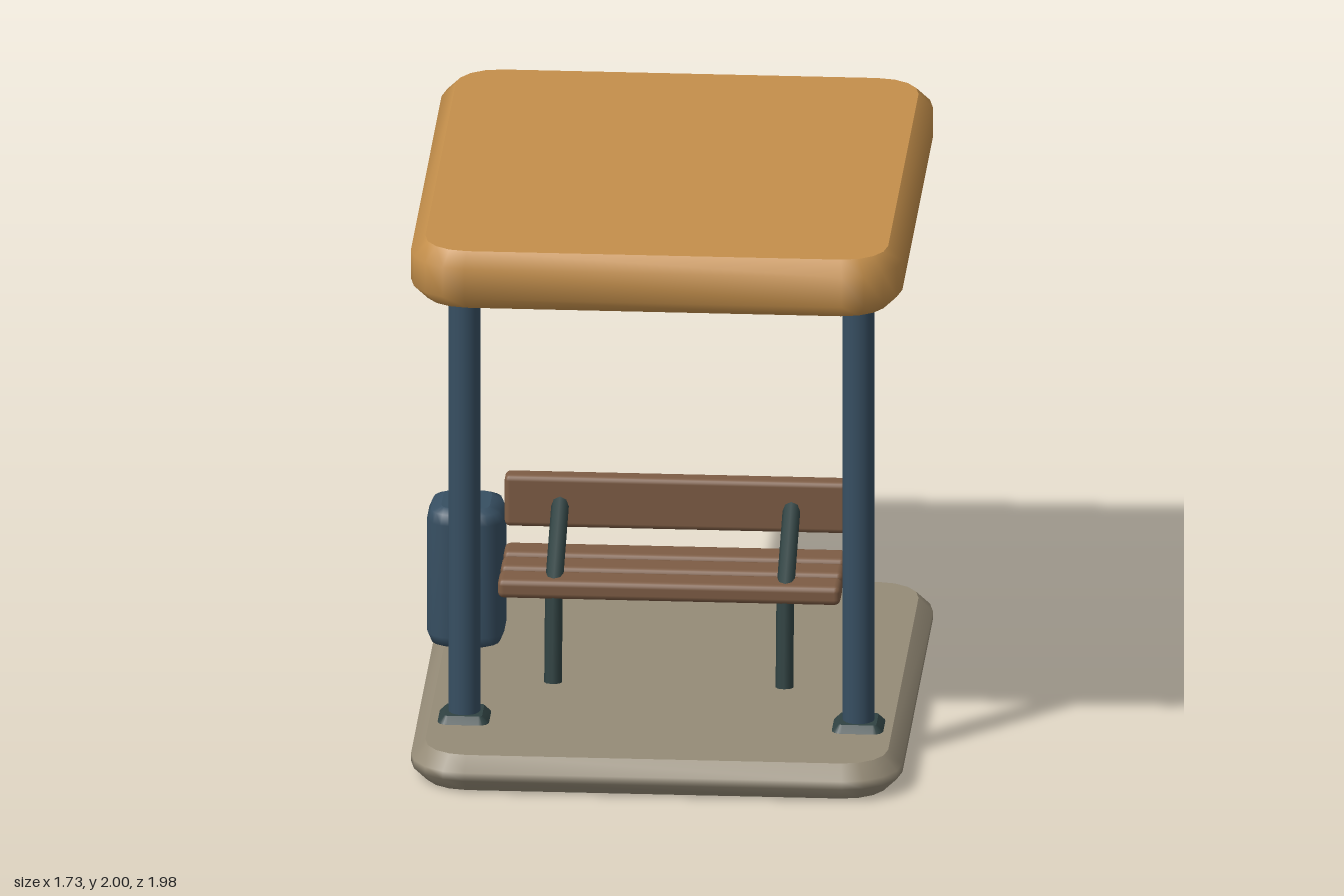
import * as THREE from 'three';
import { mergeVertices } from 'three/addons/utils/BufferGeometryUtils.js';
import { RoundedBoxGeometry } from 'three/addons/geometries/RoundedBoxGeometry.js';

const mat = (name, color) => {
  const m = new THREE.MeshStandardMaterial({ color });
  m.name = name;
  return m;
};

// Part of a geometry with its own smooth normals
function smoothRange(geometry, start, count) {
  const part = new THREE.BufferGeometry();
  const src = geometry.attributes.position.array;
  part.setAttribute('position', new THREE.BufferAttribute(src.slice(start * 3, (start + count) * 3), 3));
  const smooth = mergeVertices(part, 1e-4);
  smooth.computeVertexNormals();
  return smooth;
}

// Rounded slab standing on y = 0: flat caps, softly shaded bevelled rim
function slab(name, material, w, h, d, radius, bevel, bevelSegments = 1, steps = 4) {
  const points = [];
  for (let corner = 0; corner < 4; corner++) {
    const sx = corner === 0 || corner === 3 ? 1 : -1;
    const sy = corner < 2 ? 1 : -1;
    for (let i = 0; i <= steps; i++) {
      const a = (corner + i / steps) * Math.PI / 2;
      points.push(new THREE.Vector2(
        sx * (w / 2 - radius) + radius * Math.cos(a),
        sy * (d / 2 - radius) + radius * Math.sin(a)));
    }
  }
  const geometry = new THREE.ExtrudeGeometry(new THREE.Shape(points), {
    depth: h - 2 * bevel, bevelEnabled: true, bevelThickness: bevel,
    bevelSize: bevel, bevelOffset: -bevel, bevelSegments,
  });
  geometry.translate(0, 0, bevel);
  geometry.rotateX(-Math.PI / 2);
  const group = new THREE.Group();
  group.name = name;
  geometry.groups.forEach((g, i) => {
    const mesh = new THREE.Mesh(smoothRange(geometry, g.start, g.count), material);
    mesh.name = name + (i === 0 ? 'Caps' : 'Rim');
    group.add(mesh);
  });
  return group;
}

// Round bar between two points
function bar(name, material, from, to, radius, sides) {
  const a = new THREE.Vector3(...from), b = new THREE.Vector3(...to);
  const dir = b.clone().sub(a);
  const mesh = new THREE.Mesh(new THREE.CylinderGeometry(radius, radius, dir.length(), sides), material);
  mesh.name = name;
  mesh.position.copy(a).add(b).multiplyScalar(0.5);
  mesh.quaternion.setFromUnitVectors(new THREE.Vector3(0, 1, 0), dir.normalize());
  return mesh;
}

export function createModel() {
  const model = new THREE.Group();
  model.name = 'shelter';
  const ochre = mat('ochre roof', 0xc48f4b);
  const stone = mat('stone', 0x958b77);
  const blue = mat('blue steel', 0x374f62);
  const iron = mat('dark iron', 0x304242);
  const wood = mat('brown wood', 0x7d5c44);

  // Floor and roof
  model.add(slab('floor', stone, 1.72, 0.13, 1.98, 0.2, 0.05));
  const roof = slab('roof', ochre, 1.72, 0.21, 1.98, 0.2, 0.05);
  roof.position.y = 1.79;
  model.add(roof);

  // Ceiling lamp
  const lamp = new THREE.Mesh(new THREE.CylinderGeometry(0.105, 0.105, 0.008, 20), stone);
  lamp.name = 'ceilingLamp';
  lamp.position.set(0, 1.788, 0.54);
  model.add(lamp);

  // Front posts with foot plates
  for (const side of [-1, 1]) {
    const x = side * 0.69, z = 0.545;
    model.add(bar('post', blue, [x, 0.1, z], [x, 1.8, z], 0.056, 16));
    const foot = slab('postFoot', iron, 0.18, 0.055, 0.18, 0.035, 0.024);
    foot.position.set(x, 0.1, z);
    model.add(foot);
  }

  // Bench
  const bench = new THREE.Group();
  bench.name = 'bench';
  for (const z of [0.108, -0.037, -0.182]) {
    const slat = new THREE.Mesh(new RoundedBoxGeometry(1.2, 0.07, 0.12, 2, 0.022), wood);
    slat.name = 'seatSlat';
    slat.position.set(0, 0.468, z);
    bench.add(slat);
  }
  const back = new THREE.Mesh(new RoundedBoxGeometry(1.2, 0.19, 0.075, 2, 0.02), wood);
  back.name = 'backrest';
  back.position.set(0, 0.667, -0.228);
  bench.add(back);
  for (const x of [-0.405, 0.405]) {
    bench.add(bar('benchLeg', iron, [x, 0.13, 0.17], [x, 0.47, 0.125], 0.031, 8));
    bench.add(bar('benchArm', iron, [x, 0.475, 0.125], [x, 0.665, -0.21], 0.031, 8));
  }
  model.add(bench);

  // Litter bin
  const bin = slab('bin', blue, 0.27, 0.515, 0.29, 0.085, 0.05, 2);
  bin.position.set(-0.735, 0.137, -0.245);
  model.add(bin);

  return model;
}
